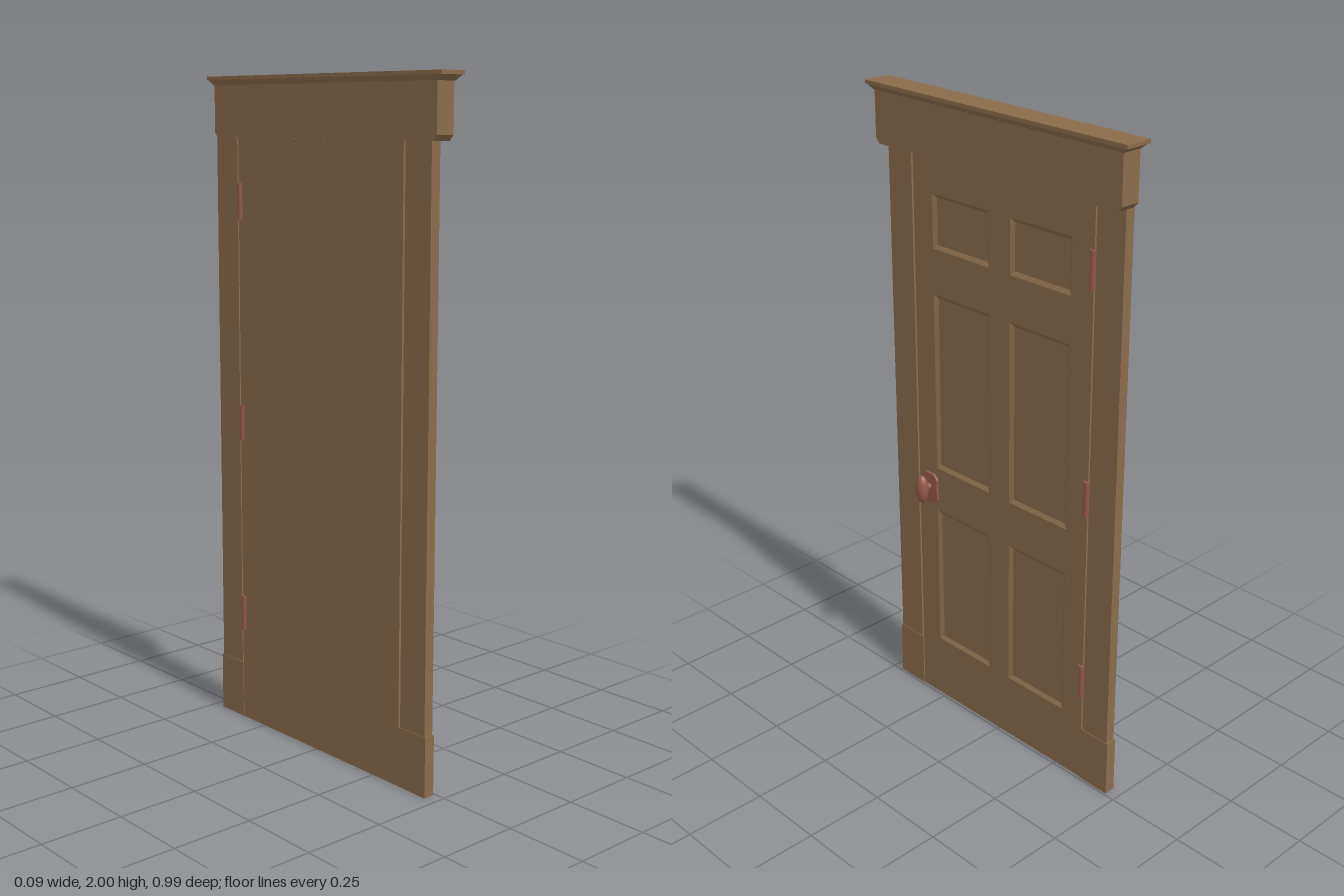
import * as THREE from 'three';

const wood = new THREE.MeshStandardMaterial({ color: 0x8a6c4b });
wood.name = 'wood';
const copper = new THREE.MeshStandardMaterial({ color: 0x945a4a });
copper.name = 'copper';

// Everything is built facing +z, then the whole door is turned to face +x.
export function createModel() {
  const model = new THREE.Group();
  model.name = 'panelDoor';
  const door = new THREE.Group();
  door.name = 'doorAssembly';
  door.rotation.y = Math.PI / 2;
  model.add(door);

  const add = (name, geometry, material, x = 0, y = 0, z = 0) => {
    const mesh = new THREE.Mesh(geometry, material);
    mesh.name = name;
    mesh.position.set(x, y, z);
    door.add(mesh);
    return mesh;
  };
  // Box given by its limits
  const block = (name, x0, x1, y0, y1, z0, z1) =>
    add(name, new THREE.BoxGeometry(x1 - x0, y1 - y0, z1 - z0), wood,
      (x0 + x1) / 2, (y0 + y1) / 2, (z0 + z1) / 2);
  const polygon = (points) => new THREE.Shape(points.map(([x, y]) => new THREE.Vector2(x, y)));
  const rect = (x0, x1, y0, y1) => [[x0, y0], [x1, y0], [x1, y1], [x0, y1]];
  const extrude = (shape, depth) => new THREE.ExtrudeGeometry(shape, { depth, bevelEnabled: false });

  // Four flat sides joining two rectangular loops of points
  const slopedSides = (outer, inner) => {
    const pos = [];
    for (let i = 0; i < 4; i++) {
      const j = (i + 1) % 4;
      pos.push(...outer[i], ...outer[j], ...inner[j], ...outer[i], ...inner[j], ...inner[i]);
    }
    const g = new THREE.BufferGeometry();
    g.setAttribute('position', new THREE.Float32BufferAttribute(pos, 3));
    g.computeVertexNormals();
    return g;
  };

  // Door leaf: solid back, pierced face, bevelled recesses
  const face = -0.01, recess = -0.018, bevel = 0.012;
  block('doorBack', -0.355, 0.355, 0, 1.82, -0.041, recess);
  const front = polygon(rect(-0.355, 0.355, 0, 1.82));
  for (const [y0, y1] of [[0.21, 0.685], [0.83, 1.4], [1.54, 1.705]]) {
    for (const [x0, x1] of [[-0.275, -0.042], [0.042, 0.275]]) {
      front.holes.push(new THREE.Path(rect(x0, x1, y0, y1).map(([x, y]) => new THREE.Vector2(x, y))));
      add('panelBevel', slopedSides(
        rect(x0, x1, y0, y1).map(([x, y]) => [x, y, face]),
        rect(x0 + bevel, x1 - bevel, y0 + bevel, y1 - bevel).map(([x, y]) => [x, y, recess]),
      ), wood);
    }
  }
  add('doorFace', extrude(front, face - recess), wood, 0, 0, recess);

  // Side casings on plinth blocks
  for (const s of [-1, 1]) {
    const [a, b] = s < 0 ? [-0.459, -0.361] : [0.361, 0.459];
    block('sideCasing', a, b, 0.18, 1.82, -0.04, -0.009);
    block('plinthBlock', a - 0.005, b + 0.005, 0, 0.18, -0.042, -0.007);
  }

  // Head casing with clipped lower corners
  add('headCasing', extrude(polygon([
    [-0.46, 1.82], [0.46, 1.82], [0.473, 1.835], [0.473, 1.98], [-0.473, 1.98], [-0.473, 1.835],
  ]), 0.062), wood, 0, 0, -0.037);

  // Cornice: flared moulding under a thin cap
  const ring = (hx, z0, z1, y) => [[-hx, y, z1], [hx, y, z1], [hx, y, z0], [-hx, y, z0]];
  add('corniceMoulding', slopedSides(
    ring(0.475, -0.038, 0.027, 1.974), ring(0.493, -0.046, 0.037, 1.99)), wood);
  block('corniceCap', -0.497, 0.497, 1.989, 2, -0.047, 0.039);

  // Hinges
  for (const y of [0.347, 0.957, 1.633]) {
    const barrel = add('hinge', new THREE.CylinderGeometry(1, 1, 0.11, 16), copper, 0.35, y, -0.025);
    barrel.scale.set(0.016, 1, 0.023);
  }

  // Knob plate with clipped corners, stem and oval knob
  add('knobPlate', extrude(polygon([
    [-0.018, -0.05], [0.018, -0.05], [0.034, -0.034], [0.034, 0.034],
    [0.018, 0.05], [-0.018, 0.05], [-0.034, 0.034], [-0.034, -0.034],
  ]), 0.009), copper, -0.304, 0.756, -0.011);
  const stem = add('knobStem', new THREE.CylinderGeometry(0.009, 0.011, 0.03, 16), copper, -0.304, 0.76, 0.008);
  stem.rotation.x = Math.PI / 2;
  const knob = add('knob', new THREE.SphereGeometry(1, 24, 16), copper, -0.304, 0.76, 0.028);
  knob.scale.set(0.022, 0.047, 0.019);

  return model;
}
